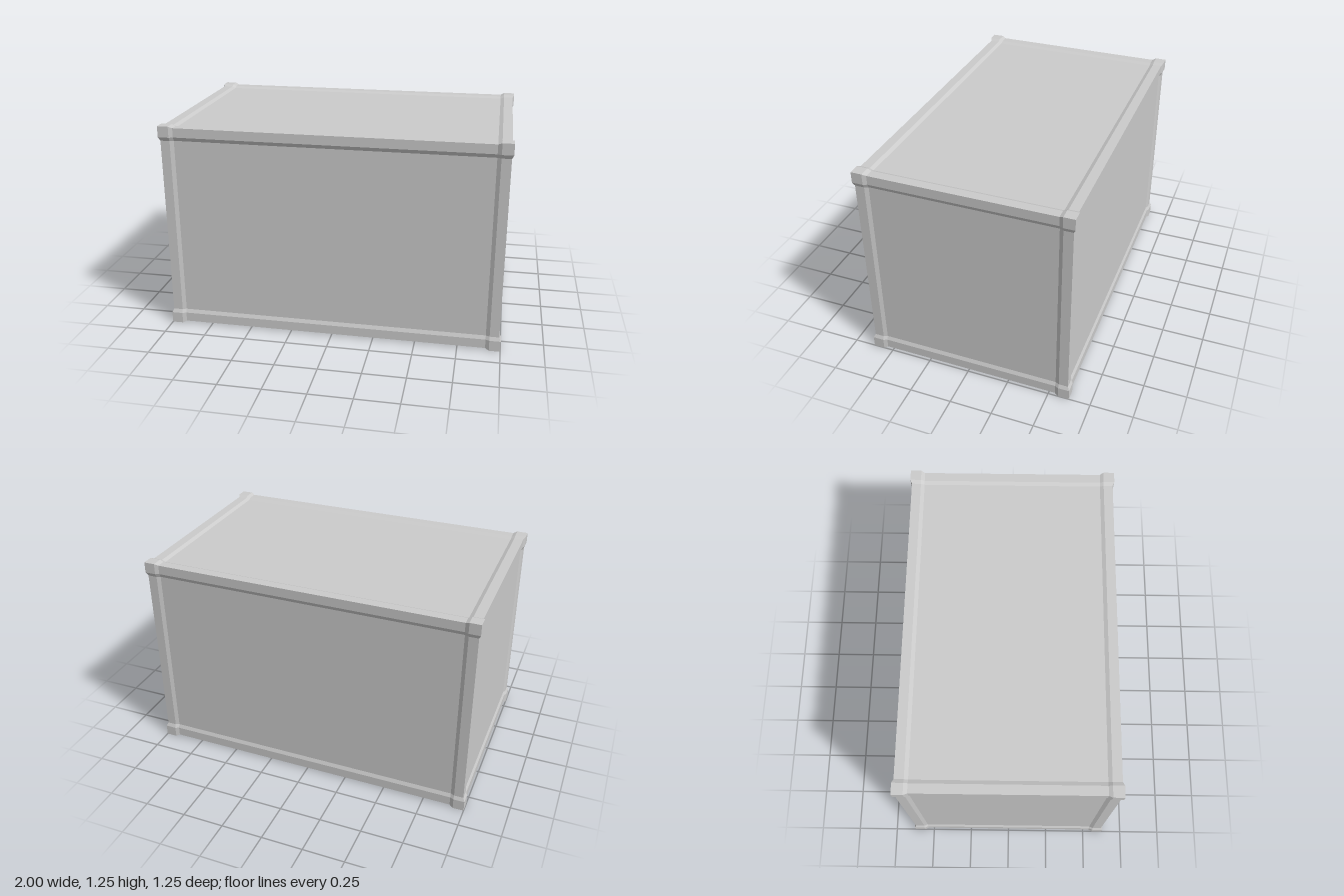
import * as THREE from 'three';

const HALF = [1, 0.624, 0.624]; // half sizes at the corner blocks
const BLOCK = 0.065;            // width of corner blocks and edge beams
const BEVEL = 0.022;            // width of the sloped step
const STEP = 0.01;              // drop from corner to beam, and beam to panel

export function createModel() {
  const group = new THREE.Group();
  group.name = 'cargoContainer';

  // Box split into block | bevel | panel | bevel | block on every axis
  const box = new THREE.BoxGeometry(5, 5, 5, 5, 5, 5);
  const pos = box.attributes.position;
  for (let i = 0; i < pos.count; i++) {
    const grid = [pos.getX(i), pos.getY(i), pos.getZ(i)].map((v) => Math.round(v + 2.5));
    const isInner = grid.map((g) => g === 2 || g === 3);
    const point = grid.map((g, axis) => {
      const sign = g < 2.5 ? -1 : 1;
      const rank = Math.min(g, 5 - g); // 0 surface, 1 block edge, 2 panel edge
      if (rank === 1) return sign * (HALF[axis] - BLOCK);
      if (rank === 2) return sign * (HALF[axis] - BLOCK - BEVEL);
      // Sink the surface one step for each other axis that is past the bevel
      const steps = isInner.filter((inner, other) => inner && other !== axis).length;
      return sign * (HALF[axis] - STEP * steps);
    });
    pos.setXYZ(i, point[0], point[1] + HALF[1], point[2]);
  }

  // Faceted shell: corner blocks, edge beams and recessed panels
  const geometry = box.toNonIndexed();
  geometry.computeVertexNormals();
  const material = new THREE.MeshStandardMaterial({ color: 0xcccccc, flatShading: true });
  const shell = new THREE.Mesh(geometry, material);
  shell.name = 'containerShell';
  group.add(shell);
  return group;
}
